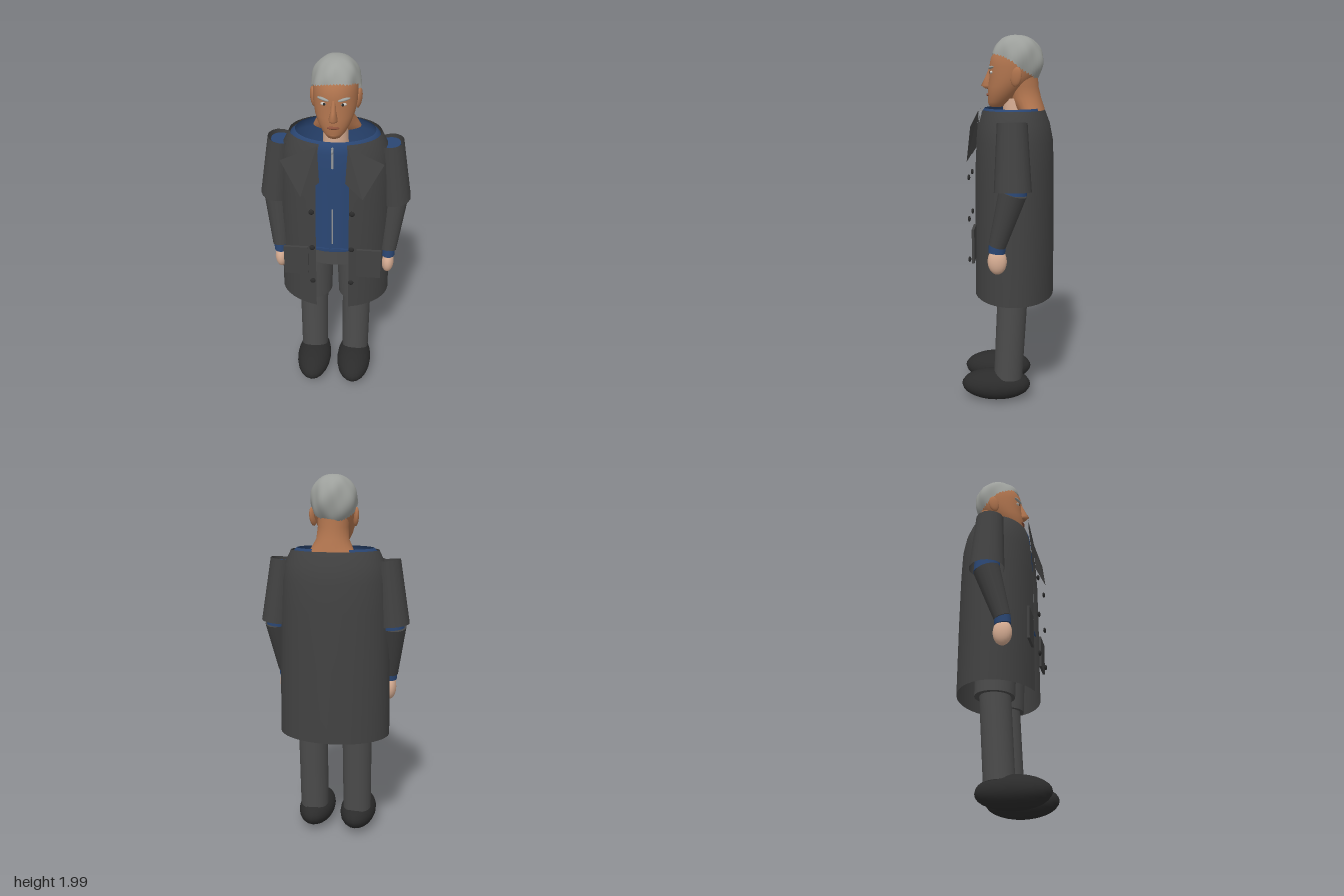
import * as THREE from 'three';

const mat = (name, color, double) => {
  const m = new THREE.MeshStandardMaterial({ color });
  m.name = name;
  if (double) m.side = THREE.DoubleSide;
  return m;
};

// Stacked elliptical cross-sections, bottom to top: [y, halfWidth, zFront, zBack].
// Angle 0 is the front; a partial arc leaves the surface open.
function loft(rows, n = 24, from = 0, to = Math.PI * 2) {
  const closed = to - from > 6.28, cols = closed ? n : n + 1;
  const pos = [], idx = [];
  for (const [y, hw, zf, zb] of rows) {
    for (let j = 0; j < cols; j++) {
      const a = from + (to - from) * j / n;
      pos.push(hw * Math.sin(a), y, (zf + zb) / 2 + (zf - zb) / 2 * Math.cos(a));
    }
  }
  for (let i = 0; i < rows.length - 1; i++) {
    for (let j = 0; j < n; j++) {
      const k = (j + 1) % cols, p = i * cols, q = p + cols;
      idx.push(p + j, p + k, q + k, p + j, q + k, q + j);
    }
  }
  const g = new THREE.BufferGeometry();
  g.setAttribute('position', new THREE.Float32BufferAttribute(pos, 3));
  g.setIndex(idx);
  g.computeVertexNormals();
  return g;
}

// Tapered cylinder from point a (bottom) to point b (top)
function limb(a, b, ra, rb, squash = 1, open = false, sides = 14) {
  const A = new THREE.Vector3(...a), B = new THREE.Vector3(...b), d = B.clone().sub(A);
  const g = new THREE.CylinderGeometry(rb, ra, d.length(), sides, 1, open);
  g.scale(1, 1, squash);
  g.applyQuaternion(new THREE.Quaternion().setFromUnitVectors(new THREE.Vector3(0, 1, 0), d.normalize()));
  return g.translate(...A.add(B).multiplyScalar(0.5).toArray());
}

const ball = (x, y, z, rx, ry, rz, w = 20, h = 14) =>
  new THREE.SphereGeometry(1, w, h).scale(rx, ry, rz).translate(x, y, z);

// Hair cap whose lower edge runs from the high forehead down to the nape
function hairGeometry() {
  const g = new THREE.SphereGeometry(1, 48, 24), p = g.attributes.position, uv = g.attributes.uv;
  for (let i = 0; i < p.count; i++) {
    const a = uv.getX(i) * Math.PI * 2, v = 1 - uv.getY(i);
    const front = Math.cos(a), side = Math.sin(a);
    const low = front > 0 ? 1.83 + 0.065 * Math.pow(front, 0.7) : 1.83 - 0.075 * Math.pow(-front, 0.8);
    const t = v * Math.acos((low - 1.855) / 0.135);
    const wave = 1 + 0.035 * Math.sin(t) * Math.sin(5 * a + 4 * t) + 0.02 * Math.sin(t) * Math.sin(9 * a - 3 * t);
    const r = Math.pow(Math.sin(t), 0.85) * wave;
    p.setXYZ(i, 0.122 * r * side, 1.855 + 0.137 * Math.cos(t) * (1 + 0.03 * Math.sin(2 * a) * Math.sin(t)) + 0.006 * side * Math.sin(t),
      -0.045 + 0.138 * r * front);
  }
  g.computeVertexNormals();
  return g;
}

export function createModel() {
  const group = new THREE.Group();
  const coat = mat('coat charcoal', 0x424242, true);
  const trousers = mat('trouser grey', 0x4c4c4c);
  const blue = mat('sweater blue', 0x2a4673, true);
  const black = mat('shoe black', 0x2b2b2b);
  const skin = mat('skin tan', 0xb0744e);
  const pale = mat('skin pale', 0xd8ae94);
  const grey = mat('hair grey', 0x9da09c, true);
  const metal = mat('zip grey', 0x94989c);
  const white = mat('eye white', 0xc9c6c0);
  const lip = mat('lip brown', 0x8c523c);
  const add = (name, geometry, material) => {
    const m = new THREE.Mesh(geometry, material);
    m.name = name;
    group.add(m);
    return m;
  };

  // Open-fronted coat
  const gap = 0.295;
  add('coat', loft([
    [0.605, 0.305, 0.183, -0.252], [1.0, 0.3, 0.183, -0.25], [1.3, 0.292, 0.18, -0.246],
    [1.45, 0.283, 0.172, -0.24], [1.54, 0.268, 0.16, -0.222], [1.61, 0.235, 0.138, -0.195],
  ], 32, gap, Math.PI * 2 - gap), coat);

  // Sweater with rolled neckline and hem
  add('sweater', loft([
    [0.975, 0.23, 0.157, -0.19], [0.995, 0.232, 0.159, -0.19], [1.0, 0.228, 0.154, -0.19], [1.45, 0.235, 0.154, -0.195],
    [1.56, 0.238, 0.148, -0.19], [1.6, 0.228, 0.14, -0.18], [1.62, 0.205, 0.125, -0.172],
  ], 32), blue);
  add('sweaterHem', new THREE.BoxGeometry(0.17, 0.006, 0.006).translate(0, 0.995, 0.155), blue);
  add('collarZip', limb([0, 1.49, 0.154], [0, 1.6, 0.146], 0.006, 0.006, 1, false, 8), metal);
  add('frontZip', limb([0, 1.03, 0.156], [0, 1.25, 0.156], 0.004, 0.004, 1, false, 8), metal);
  add('zipPull', ball(0, 1.585, 0.158, 0.006, 0.012, 0.008, 10, 8), metal);

  // Trouser top
  add('hips', new THREE.CylinderGeometry(1, 1, 0.12, 24).scale(0.21, 1, 0.14).translate(0, 0.92, -0.02), trousers);

  for (const s of [1, -1]) {
    const side = s > 0 ? 'left' : 'right';

    // Legs and shoes
    add(side + 'Thigh', limb([s * 0.125, 0.575, -0.03], [s * 0.115, 0.97, -0.02], 0.105, 0.11, 1, false, 24), trousers);
    add(side + 'Shin', limb([s * 0.125, 0.14, -0.005], [s * 0.125, 0.6, -0.028], 0.079, 0.082, 1, false, 24), trousers);
    add(side + 'Shoe', ball(s * 0.122, 0.09, 0.063, 0.102, 0.086, 0.192), black);

    // Layered sleeves, cuff and hand
    add(side + 'UpperSleeve', limb([s * 0.318, 1.22, -0.035], [s * 0.28, 1.56, -0.03], 0.085, 0.068, 1.12, true), coat);
    add(side + 'InnerArm', limb([s * 0.315, 1.2, -0.035], [s * 0.277, 1.545, -0.033], 0.062, 0.055, 1.15), blue);
    add(side + 'LowerSleeve', limb([s * 0.295, 0.937, 0.045], [s * 0.315, 1.215, -0.035], 0.045, 0.072, 1), coat);
    add(side + 'Cuff', limb([s * 0.297, 0.9, 0.048], [s * 0.297, 0.95, 0.043], 0.036, 0.037, 1.2), blue);
    add(side + 'Hand', ball(s * 0.296, 0.855, 0.045, 0.035, 0.07, 0.05), pale);

    // Lapel: a stiff sheet standing away from the chest
    const lapel = new THREE.BufferGeometry();
    lapel.setAttribute('position', new THREE.Float32BufferAttribute([
      s * 0.075, 1.61, 0.152, s * 0.065, 1.415, 0.168, s * 0.155, 1.35, 0.21, s * 0.255, 1.54, 0.18], 3));
    lapel.setIndex(s > 0 ? [0, 1, 2, 0, 2, 3] : [0, 2, 1, 0, 3, 2]);
    add(side + 'Lapel', lapel.toNonIndexed(), coat).geometry.computeVertexNormals();

    // Patch pocket and buttons
    add(side + 'Pocket', new THREE.BoxGeometry(0.13, 0.18, 0.013).translate(s * 0.195, 0.922, 0.172), coat);
    for (const y of [1.26, 1.035, 0.81]) {
      add(side + 'Button', ball(s * 0.103, y, 0.205, 0.015, 0.015, 0.008, 14, 8), black);
    }

    // Ear, eye and brow
    const ear = add(side + 'Ear', ball(0, 0, 0, 0.014, 0.05, 0.03, 14, 10), skin);
    ear.position.set(s * 0.113, 1.78, -0.045);
    ear.rotation.set(-0.2, s * -0.35, s * -0.1);
    add(side + 'Eye', ball(s * 0.045, 1.803, 0.085, 0.018, 0.008, 0.009, 14, 10), white);
    add(side + 'Iris', ball(s * 0.044, 1.803, 0.092, 0.007, 0.007, 0.004, 10, 8), black);
    const brow = add(side + 'Brow', ball(0, 0, 0, 0.033, 0.007, 0.009, 14, 8), grey);
    brow.position.set(s * 0.05, 1.828, 0.088);
    brow.rotation.set(0, s * 0.45, s * 0.12);
  }

  // Neck
  add('throat', limb([0, 1.5, -0.045], [0, 1.67, -0.03], 0.068, 0.06, 1, false, 20), pale);
  add('neck', loft([
    [1.59, 0.125, -0.06, -0.198], [1.62, 0.112, -0.035, -0.192], [1.67, 0.085, -0.008, -0.175],
    [1.73, 0.08, 0.01, -0.16], [1.8, 0.085, 0.02, -0.155],
  ]), skin).material.side = THREE.DoubleSide;

  // Head and face
  add('head', loft([
    [1.622, 0.0, 0.07, 0.07], [1.625, 0.035, 0.098, 0.03], [1.65, 0.06, 0.107, -0.02], [1.69, 0.083, 0.107, -0.06],
    [1.73, 0.098, 0.107, -0.1], [1.78, 0.109, 0.099, -0.15], [1.83, 0.111, 0.1, -0.165],
    [1.88, 0.108, 0.09, -0.163], [1.93, 0.09, 0.055, -0.14], [1.96, 0.0, -0.05, -0.05],
  ], 32), skin);
  add('nose', loft([
    [1.715, 0.0, 0.1, 0.1], [1.72, 0.02, 0.122, 0.085], [1.735, 0.022, 0.143, 0.08],
    [1.77, 0.014, 0.125, 0.075], [1.825, 0.011, 0.101, 0.07],
  ], 16), skin);
  add('mouth', ball(0, 1.687, 0.106, 0.03, 0.008, 0.01, 16, 10), lip);
  add('chin', ball(0, 1.648, 0.085, 0.032, 0.022, 0.022, 16, 10), skin);
  add('hair', hairGeometry(), grey);

  return group;
}
